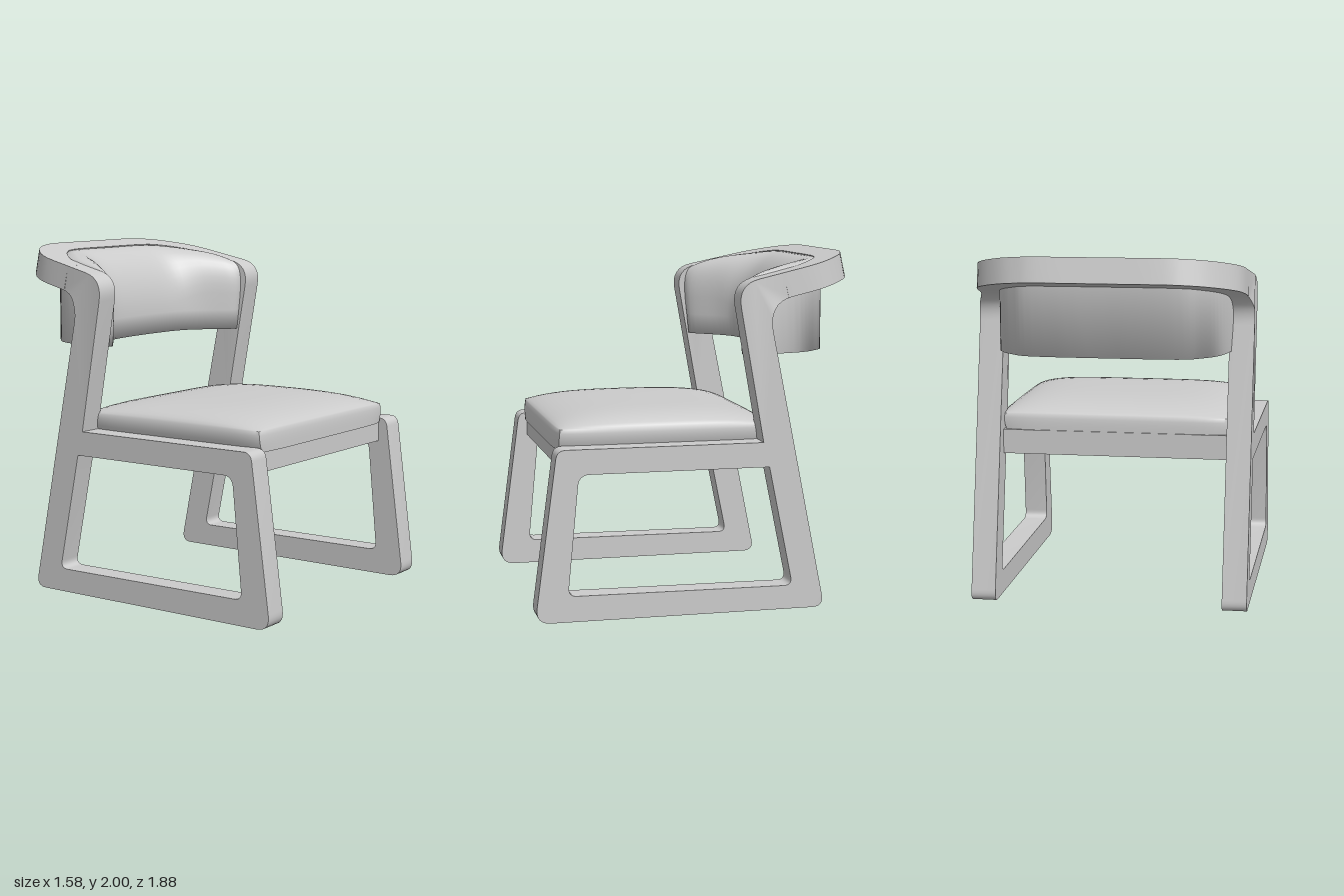
import * as THREE from 'three';
import { mergeVertices, toCreasedNormals } from 'three/addons/utils/BufferGeometryUtils.js';

const material = new THREE.MeshStandardMaterial({ color: 0xcccccc });
const SLOPE = 0.22; // rise of the top rail towards the back
const railTop = z => 1.865 + SLOPE * (-z - 0.30);

function addMesh(group, geometry, name) {
  const mesh = new THREE.Mesh(geometry, material);
  mesh.name = name;
  group.add(mesh);
  return mesh;
}

// Merge, then smooth everything but the sharp edges
function smooth(geometry, crease) {
  geometry.deleteAttribute('normal');
  geometry.deleteAttribute('uv');
  return toCreasedNormals(mergeVertices(geometry, 1e-4), crease);
}

// Trace a polygon of [x, y, cornerRadius] with rounded corners
function roundedPath(path, pts) {
  pts.forEach(([x, y, r = 0], i) => {
    const p = new THREE.Vector2(x, y);
    const towards = q => new THREE.Vector2(q[0], q[1]).sub(p).setLength(r).add(p);
    const a = towards(pts[(i + pts.length - 1) % pts.length]);
    const b = towards(pts[(i + 1) % pts.length]);
    if (i === 0) path.moveTo(a.x, a.y); else path.lineTo(a.x, a.y);
    if (r > 0) path.quadraticCurveTo(x, y, b.x, b.y);
  });
  path.closePath();
  return path;
}

// Symmetric plan curve from half of its points ([x, z], outside to middle)
function planCurve(half) {
  const right = half.slice(0, -1).reverse();
  return new THREE.SplineCurve([
    ...half.map(([x, z]) => new THREE.Vector2(-x, z)),
    ...right.map(([x, z]) => new THREE.Vector2(x, z)),
  ]);
}

// Sled-shaped side frame with the elbow that meets the top rail
function sideFrameGeometry(side) {
  const shape = roundedPath(new THREE.Shape(), [
    [0.95, 0, 0.09], [0.82, 0.96, 0.05], [-0.345, 0.96], [-0.188, 1.84, 0.13],
    [-0.53, railTop(-0.53)], [-0.56, 1.777], [-0.365, 1.73, 0.15], [-0.71, 0, 0.07],
  ]);
  shape.holes.push(roundedPath(new THREE.Path(), [
    [0.765, 0.145, 0.05], [0.70, 0.82, 0.06], [-0.38, 0.82], [-0.52, 0.135, 0.05],
  ]));
  const g = new THREE.ExtrudeGeometry(shape, { depth: 0.14, bevelEnabled: false, curveSegments: 8 });
  g.rotateY(-Math.PI / 2).translate(side > 0 ? 0.79 : -0.65, 0, 0);
  // Elbow leans inwards to follow the plan of the rail
  const p = g.attributes.position;
  for (let i = 0; i < p.count; i++) {
    const w = THREE.MathUtils.smoothstep(p.getY(i), 1.67, 1.76);
    p.setX(i, p.getX(i) - side * w * 0.11 * Math.max(0, -0.21 - p.getZ(i)));
  }
  return smooth(g, 0.6);
}

// Curved top rail: plan outline extruded and tilted
function topRailGeometry() {
  const outer = planCurve([[0.762, -0.46], [0.74, -0.63], [0.68, -0.74], [0.57, -0.84],
    [0.46, -0.89], [0.34, -0.912], [0, -0.912]]);
  const inner = planCurve([[0.622, -0.46], [0.60, -0.57], [0.54, -0.65], [0.46, -0.72],
    [0.34, -0.765], [0, -0.77]]);
  const tilt = Math.atan(SLOPE);
  const outline = [...outer.getPoints(36), ...inner.getPoints(36).reverse()]
    .map(v => new THREE.Vector2(v.x, (-v.y - 0.30) / Math.cos(tilt)));
  const g = new THREE.ExtrudeGeometry(new THREE.Shape(outline), { depth: 0.142, bevelEnabled: false });
  g.rotateX(-Math.PI / 2).translate(0, -0.142, 0).rotateX(tilt).translate(0, railTop(-0.30), -0.30);
  return smooth(g, 0.6);
}

// Upholstered back: cross-sections lofted from one side frame to the other
function backPadGeometry() {
  const top = planCurve([[0.64, -0.30], [0.615, -0.56], [0.50, -0.71], [0.34, -0.785], [0, -0.79]]);
  const front = planCurve([[0.66, -0.275], [0.59, -0.275], [0.44, -0.42], [0.30, -0.49], [0, -0.51]]);
  const rear = planCurve([[0.67, -0.39], [0.62, -0.60], [0.53, -0.72], [0.40, -0.79], [0, -0.80]]);
  const stations = 40, arc = 12, bottom = 1.44;
  const positions = [], index = [];
  let ring = 0;
  for (let i = 0; i <= stations; i++) {
    const u = i / stations;
    const t = top.getPoint(u), f = front.getPoint(u), r = rear.getPoint(u);
    const section = [[r.x, bottom, r.y], [r.x, railTop(r.y) - 0.08, r.y]];
    const yTop = railTop(t.y) - 0.008;
    const lean = 0.13 * Math.min(1, Math.abs(f.x) / 0.66) ** 8; // ends follow the legs
    const power = 1 - 0.4 * THREE.MathUtils.smoothstep(Math.abs(f.x), 0.25, 0.5); // fuller ends
    for (let k = 0; k <= arc; k++) {
      const a = (k / arc) * Math.PI / 2;
      const out = Math.sin(a) ** power;
      const drop = 1 - Math.max(0, Math.cos(a)) ** power;
      const p = t.clone().lerp(f, out);
      const y = yTop - (yTop - 1.56) * drop;
      section.push([p.x, y, p.y + lean * out * (y - bottom)]);
    }
    section.push([f.x, bottom, f.y]);
    ring = section.length;
    positions.push(...section.flat());
  }
  for (let i = 0; i < stations; i++) {
    for (let j = 0; j < ring; j++) {
      const k = (j + 1) % ring;
      const a = i * ring + j, b = i * ring + k, c = b + ring, d = a + ring;
      index.push(a, b, c, a, c, d);
    }
  }
  const g = new THREE.BufferGeometry();
  g.setAttribute('position', new THREE.Float32BufferAttribute(positions, 3));
  g.setIndex(index);
  g.computeVertexNormals();
  return g;
}

// Puffed seat cushion with softened corners and a hollowed underside
function cushionGeometry() {
  const g = new THREE.BoxGeometry(2, 1, 2, 24, 5, 24);
  const p = g.attributes.position;
  for (let i = 0; i < p.count; i++) {
    const u = Math.sin(p.getX(i) * Math.PI / 2), v = Math.sin(p.getZ(i) * Math.PI / 2);
    const t = p.getY(i) + 0.5;
    const puffX = Math.max(0, 1 - Math.abs(u) ** 5) ** 0.6;
    const puffZ = Math.max(0, 1 - Math.abs(v) ** 3) ** 0.65;
    const tuck = 1 - 0.04 * (1 - t) ** 2 - 0.012 * t ** 4;
    p.setXYZ(i,
      u * 0.675 * tuck * (1 - 0.03 * v ** 8),
      0.935 + t * 0.115 + 0.08 * puffX * puffZ,
      0.185 + v * 0.617 * (1 - 0.012 * t ** 4) * (1 - 0.03 * u ** 8));
  }
  return smooth(g, 1.0);
}

export function createModel() {
  const chair = new THREE.Group();
  chair.name = 'chair';

  addMesh(chair, sideFrameGeometry(1), 'leftSideFrame');
  addMesh(chair, sideFrameGeometry(-1), 'rightSideFrame');
  addMesh(chair, topRailGeometry(), 'topRail');
  addMesh(chair, backPadGeometry(), 'backPad');
  addMesh(chair, cushionGeometry(), 'seatCushion');

  // Cross rails under the seat
  for (const [name, z] of [['frontSeatRail', 0.725], ['rearSeatRail', -0.395]]) {
    addMesh(chair, new THREE.BoxGeometry(1.31, 0.14, 0.09), name).position.set(0, 0.89, z);
  }
  return chair;
}
